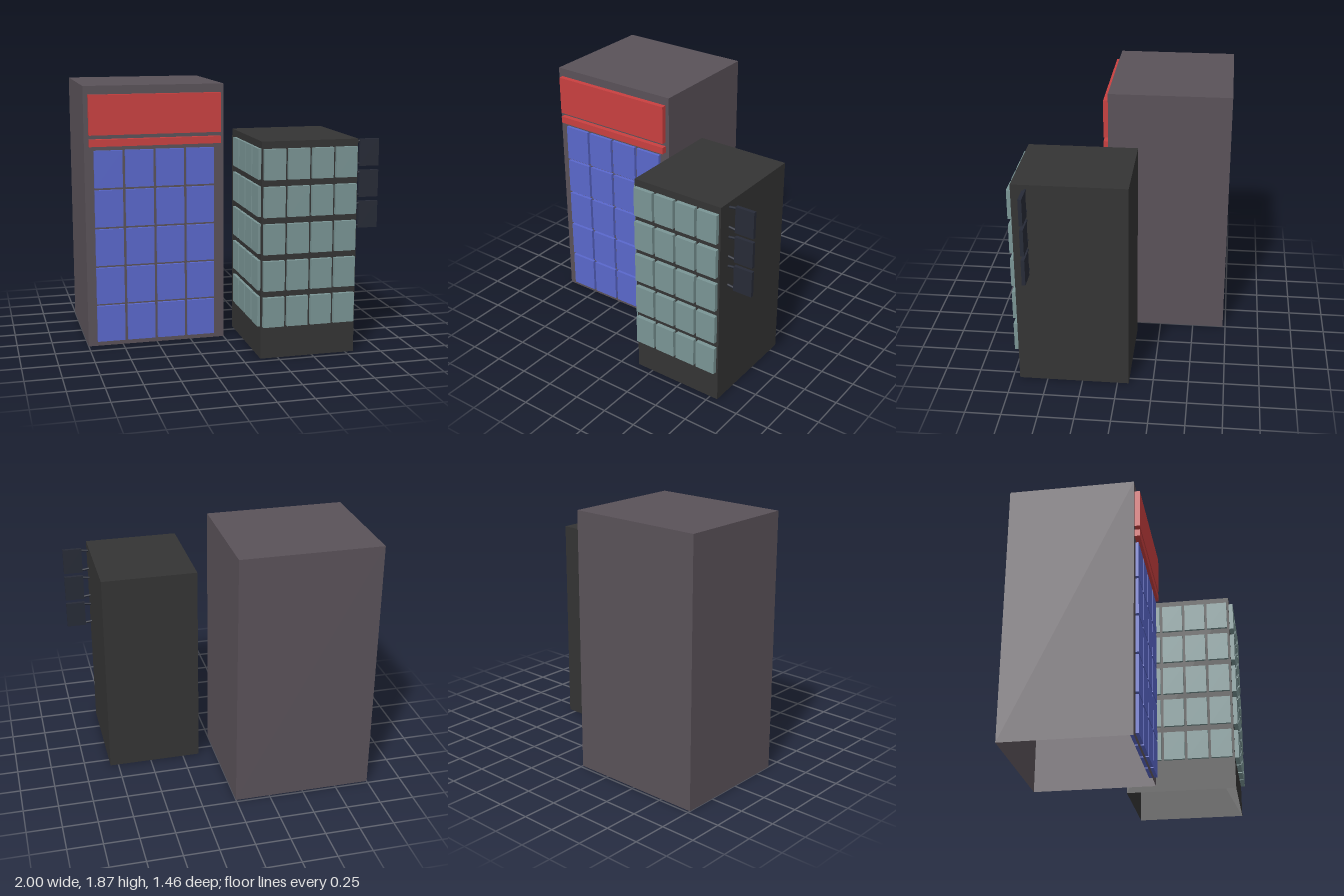
import * as THREE from 'three';

const material = (color) => new THREE.MeshStandardMaterial({ color, side: THREE.DoubleSide });

// Box without one of its faces (order: +x, -x, +y, -y, +z, -z)
function openBox(w, h, d, face) {
  const geometry = new THREE.BoxGeometry(w, h, d);
  const index = Array.from(geometry.index.array);
  index.splice(face * 6, 6);
  geometry.setIndex(index);
  geometry.clearGroups();
  return geometry;
}

function addMesh(parent, name, geometry, mat, x, y, z) {
  const mesh = new THREE.Mesh(geometry, mat);
  mesh.name = name;
  mesh.position.set(x, y, z);
  parent.add(mesh);
  return mesh;
}

// Hollow building shell, open underneath
function addShell(parent, name, mat, x0, x1, h, z0, z1) {
  return addMesh(parent, name, openBox(x1 - x0, h, z1 - z0, 3), mat, (x0 + x1) / 2, h / 2, (z0 + z1) / 2);
}

// Grid of open-backed panes that pass through the wall
function windowGrid(name, mat, { w, h, d, stepX, stepY, cols, rows }) {
  const group = new THREE.Group();
  group.name = name;
  const geometry = openBox(w, h, d, 5);
  for (let r = 0; r < rows; r++) {
    for (let c = 0; c < cols; c++) {
      addMesh(group, 'window', geometry, mat,
        (c - (cols - 1) / 2) * stepX, (r - (rows - 1) / 2) * stepY, 0);
    }
  }
  return group;
}

function tallBuilding() {
  const group = new THREE.Group();
  group.name = 'tallBuilding';
  addShell(group, 'tallWalls', material(0x5a5259), -1, 0, 1.87, -0.73, 0.147);

  // Front windows
  const windows = windowGrid('tallWindows', material(0x5a68cc),
    { w: 0.2, h: 0.263, d: 0.06, stepX: 0.22, stepY: 0.28, cols: 4, rows: 5 });
  windows.position.set(-0.505, 0.728, 0.14);
  group.add(windows);

  // Fascia panel and the narrow band under it
  const red = material(0xc94040);
  addMesh(group, 'fasciaPanel', openBox(0.94, 0.28, 0.07, 5), red, -0.498, 1.67, 0.149);
  addMesh(group, 'fasciaBand', openBox(0.94, 0.05, 0.07, 5), red, -0.498, 1.475, 0.149);
  return group;
}

function smallBuilding() {
  const group = new THREE.Group();
  group.name = 'smallBuilding';
  addShell(group, 'smallWalls', material(0x343434), 0.125, 0.81, 1.52, -0.08, 0.70);

  // Windows on the front and on the side facing -x
  const green = material(0x7a9595);
  const layout = { w: 0.15, h: 0.21, d: 0.06, stepX: 0.17, stepY: 0.2575, cols: 4, rows: 5 };
  const front = windowGrid('frontWindows', green, layout);
  front.position.set(0.466, 0.85, 0.70);
  const side = windowGrid('sideWindows', green, layout);
  side.position.set(0.135, 0.85, 0.353);
  side.rotation.y = -Math.PI / 2;
  group.add(front, side);
  return group;
}

// Hanging sign plate with two splayed wall brackets
function hangingSign(y, mat) {
  const group = new THREE.Group();
  group.name = 'hangingSign';
  addMesh(group, 'signPlate', new THREE.BoxGeometry(0.14, 0.19, 0.025), mat, 0.93, 0, 0);
  for (const s of [1, -1]) {
    const bracket = addMesh(group, 'signBracket',
      new THREE.CylinderGeometry(0.009, 0.009, 0.075, 12), mat, 0.835, s * 0.076, 0);
    bracket.rotation.z = Math.PI / 2 + s * 0.13;
  }
  group.position.set(0, y, 0.60);
  return group;
}

export function createModel() {
  const model = new THREE.Group();
  model.name = 'buildings';
  model.add(tallBuilding(), smallBuilding());
  const signMaterial = material(0x272b37);
  for (let i = 0; i < 3; i++) model.add(hangingSign(0.97 + i * 0.22, signMaterial));
  return model;
}
